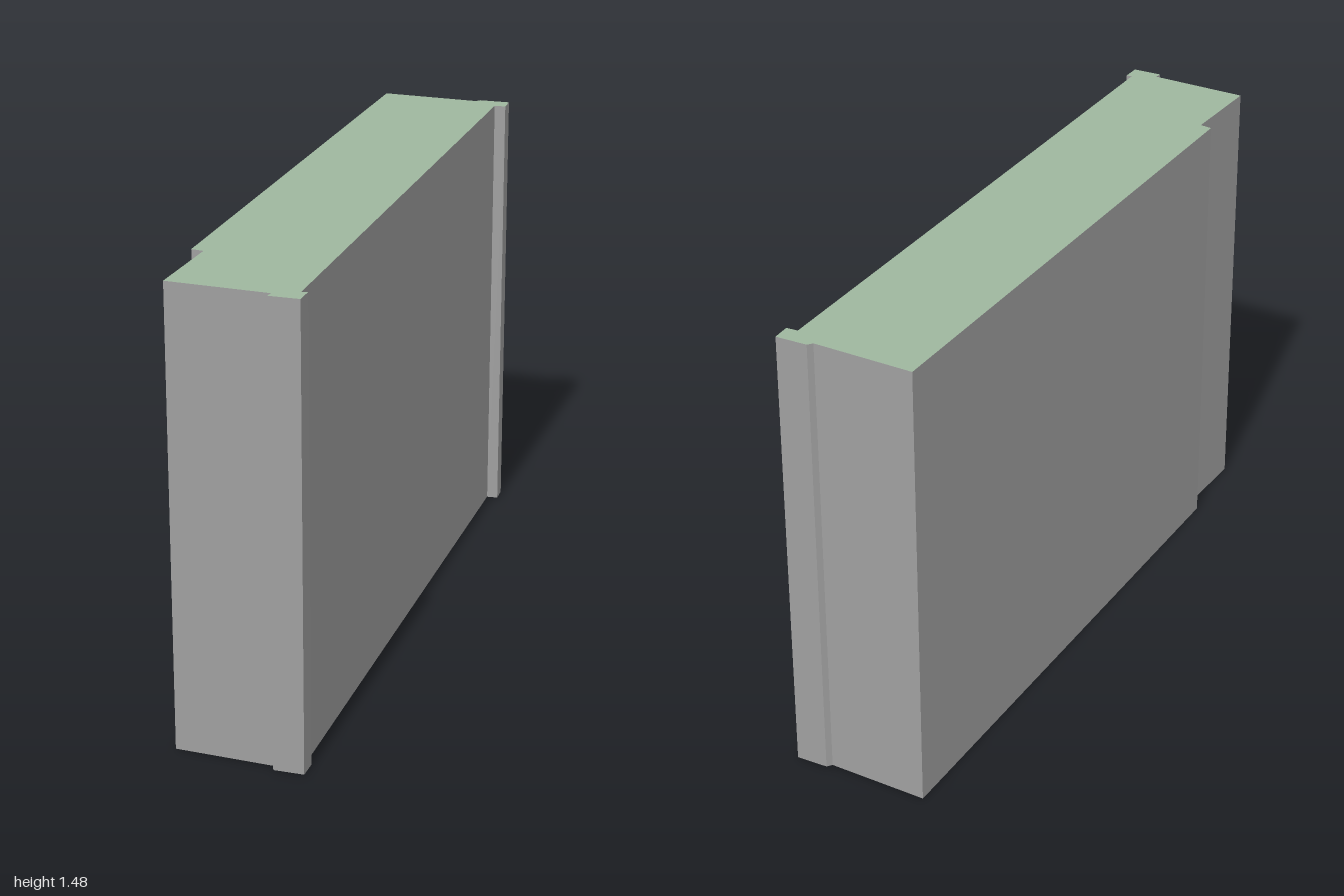
import * as THREE from 'three';

const HEIGHT = 1.475;

// Floor plan as [x, z], clockwise when seen from above
const PLAN = [
  [0.72, -0.86], [0.915, -0.595], [0.935, -0.595], [1, -0.515],
  [0.955, -0.477], [0.93, -0.505], [-0.735, 0.81], [-0.72, 0.822],
  [-0.77, 0.86], [-0.83, 0.785], [-0.81, 0.772], [-1, 0.51],
  [-0.765, 0.34], [-0.785, 0.305],
];

// One upright quad per plan edge, open at the bottom
function wallGeometry(plan, height) {
  const positions = [];
  plan.forEach(([px, pz], i) => {
    const [qx, qz] = plan[(i + 1) % plan.length];
    positions.push(
      qx, 0, qz, px, 0, pz, px, height, pz,
      qx, 0, qz, px, height, pz, qx, height, qz,
    );
  });
  const geometry = new THREE.BufferGeometry();
  geometry.setAttribute('position', new THREE.Float32BufferAttribute(positions, 3));
  geometry.computeVertexNormals();
  return geometry;
}

export function createModel() {
  const wallGrey = new THREE.MeshStandardMaterial({ color: 0xa0a0a0, side: THREE.DoubleSide });
  wallGrey.name = 'wall grey';
  const roofGreen = new THREE.MeshStandardMaterial({ color: 0x9fb79f, side: THREE.DoubleSide });
  roofGreen.name = 'roof green';

  const group = new THREE.Group();
  group.name = 'building';

  // Outer walls
  const walls = new THREE.Mesh(wallGeometry(PLAN, HEIGHT), wallGrey);
  walls.name = 'walls';
  group.add(walls);

  // Flat roof
  const outline = new THREE.Shape(PLAN.map(([x, z]) => new THREE.Vector2(x, -z)));
  const roof = new THREE.Mesh(new THREE.ShapeGeometry(outline).rotateX(-Math.PI / 2), roofGreen);
  roof.name = 'roof';
  roof.position.y = HEIGHT;
  group.add(roof);

  return group;
}
